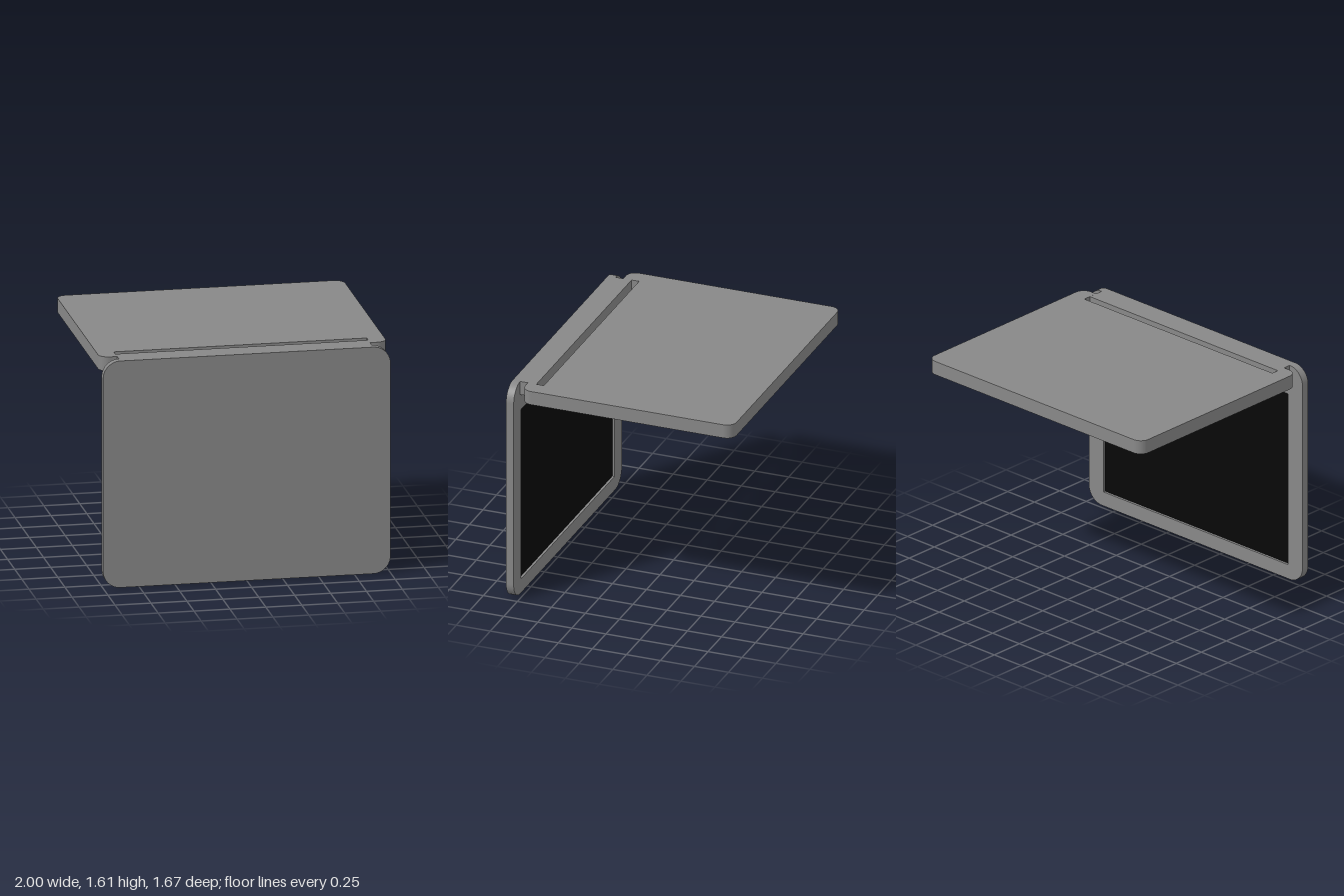
import * as THREE from 'three';

const TOP = 1.61, DECK = 1.51;
const grey = new THREE.MeshStandardMaterial({ color: 0x888888 });
const black = new THREE.MeshStandardMaterial({ color: 0x080808 });

function roundedRect(x0, y0, x1, y1, r) {
  const s = new THREE.Shape();
  s.absarc(x1 - r, y0 + r, r, -Math.PI / 2, 0);
  s.absarc(x1 - r, y1 - r, r, 0, Math.PI / 2);
  s.absarc(x0 + r, y1 - r, r, Math.PI / 2, Math.PI);
  s.absarc(x0 + r, y0 + r, r, Math.PI, Math.PI * 1.5);
  s.closePath();
  return s;
}

function slab(shape, depth) {
  return new THREE.ExtrudeGeometry(shape, { depth, bevelEnabled: false, curveSegments: 12 });
}

function add(parent, name, geometry, material, x = 0, y = 0, z = 0) {
  const mesh = new THREE.Mesh(geometry, material);
  mesh.name = name;
  mesh.position.set(x, y, z);
  parent.add(mesh);
}

// Horizontal body, notched along the hinge edge (shape y becomes z)
function baseGeometry() {
  const r = 0.07, z0 = -0.833, z1 = 0.72, notchX = 0.88, notchZ = 0.603;
  const s = new THREE.Shape();
  s.absarc(1 - r, z0 + r, r, -Math.PI / 2, 0);
  s.absarc(1 - r, z1 - r, r, 0, Math.PI / 2);
  s.lineTo(notchX, z1);
  s.lineTo(notchX, notchZ);
  s.lineTo(-notchX, notchZ);
  s.lineTo(-notchX, z1);
  s.absarc(-1 + r, z1 - r, r, Math.PI / 2, Math.PI);
  s.absarc(-1 + r, z0 + r, r, Math.PI, Math.PI * 1.5);
  s.closePath();
  return slab(s, TOP - DECK).rotateX(Math.PI / 2);
}

// Staggered key rows on the underside; widths are in key units
function buildKeyboard() {
  const keyboard = new THREE.Group();
  keyboard.name = 'keyboard';
  const ones = (n) => Array(n).fill(1);
  const rows = [
    [...ones(13), 2],
    [1.5, ...ones(12), 1.5],
    [1.75, ...ones(11), 2.25],
    [2.25, ...ones(10), 2.75],
    [1.25, 1.25, 1.25, 6.25, 1.25, 1.25, 1.25, 1.25],
  ];
  const gap = 0.02, left = -0.845;
  const unit = (-2 * left + gap) / 15;
  rows.forEach((row, i) => {
    let x = left;
    for (const w of row) {
      const size = w * unit - gap;
      add(keyboard, 'key', new THREE.BoxGeometry(size, 0.02, 0.122), black,
        x + size / 2, DECK - 0.01, 0.319 - i * 0.1445);
      x += w * unit;
    }
  });
  return keyboard;
}

export function createModel() {
  const model = new THREE.Group();
  model.name = 'laptop';

  // Body with keyboard and touchpad facing down
  const base = new THREE.Group();
  base.name = 'base';
  add(base, 'body', baseGeometry(), grey, 0, TOP, 0);
  add(base, 'touchpad', new THREE.BoxGeometry(0.52, 0.002, 0.4), grey, 0, DECK, -0.59);
  base.add(buildKeyboard());
  model.add(base);

  // Upright lid: back shell, bezel frame and recessed display
  const lid = new THREE.Group();
  lid.name = 'lid';
  const screenX = 0.865, screenLow = 0.105, screenHigh = 1.39;
  const outline = () => roundedRect(-1, 0, 1, TOP, 0.12);
  add(lid, 'lidShell', slab(outline(), 0.036), grey, 0, 0, 0.797);
  const frame = outline();
  frame.holes.push(new THREE.Path([
    new THREE.Vector2(-screenX, screenLow), new THREE.Vector2(-screenX, screenHigh),
    new THREE.Vector2(screenX, screenHigh), new THREE.Vector2(screenX, screenLow),
  ]));
  add(lid, 'bezel', slab(frame, 0.02), grey, 0, 0, 0.777);
  add(lid, 'display', new THREE.BoxGeometry(2 * screenX, screenHigh - screenLow, 0.01), black,
    0, (screenLow + screenHigh) / 2, 0.799);

  // Hinge bar reaching from the lid into the body's notch
  add(lid, 'hingeBar', new THREE.BoxGeometry(1.76, TOP - DECK, 0.13), grey, 0, (TOP + DECK) / 2, 0.723);
  model.add(lid);

  return model;
}
